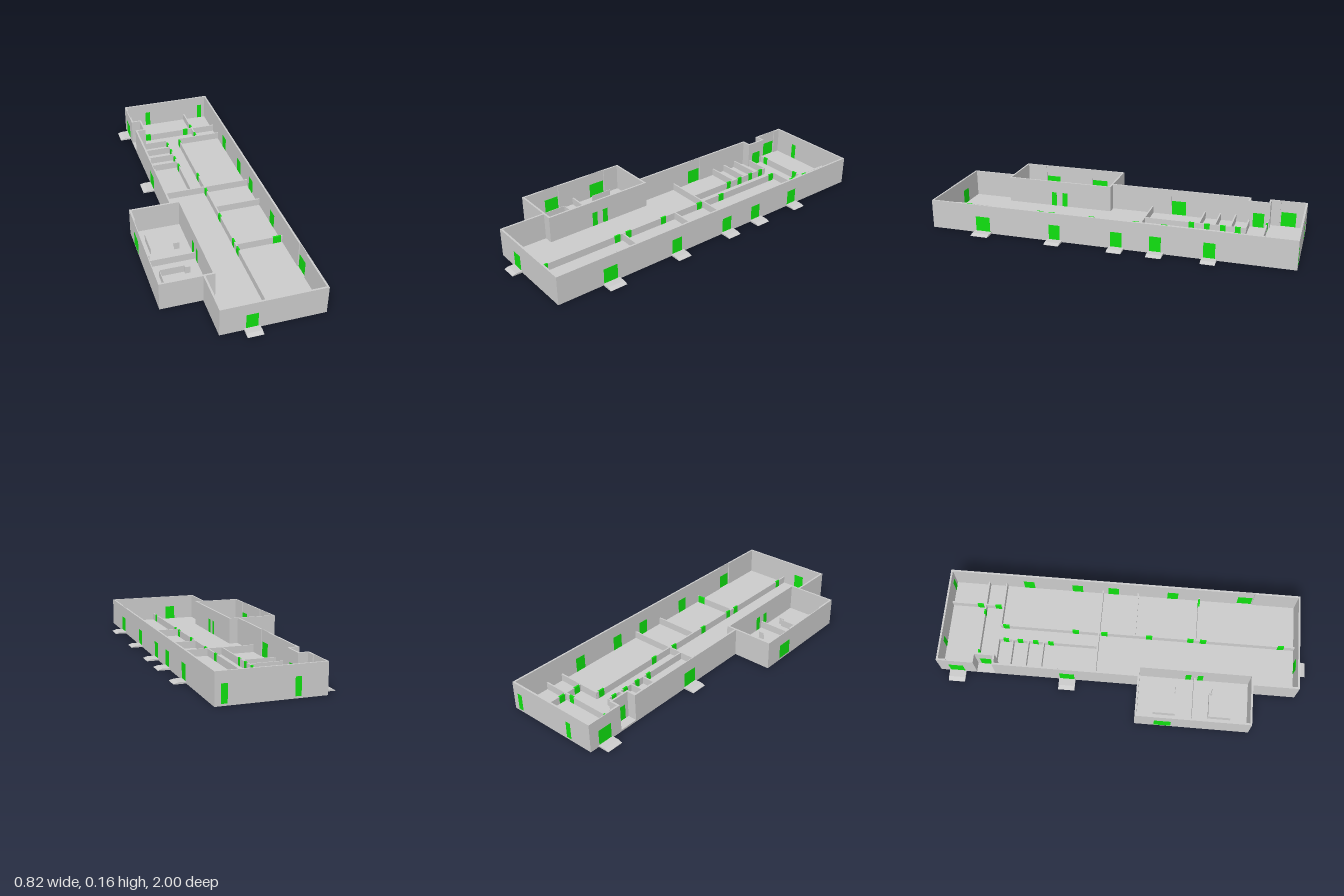
import * as THREE from 'three';

const WALL_H = 0.155, LOW_H = 0.05, FLOOR_H = 0.01, T = 0.01;

export function createModel() {
  const model = new THREE.Group();
  const grey = new THREE.MeshStandardMaterial({ color: 0xcccccc, flatShading: true });
  const green = new THREE.MeshStandardMaterial({ color: 0x10e010, flatShading: true });

  const block = (name, x0, x1, y0, y1, z0, z1, material = grey) => {
    const mesh = new THREE.Mesh(new THREE.BoxGeometry(x1 - x0, y1 - y0, z1 - z0), material);
    mesh.position.set((x0 + x1) / 2, (y0 + y1) / 2, (z0 + z1) / 2);
    mesh.name = name;
    model.add(mesh);
    return mesh;
  };
  // Walls running along z or along x
  const outerWall = (x0, x1, z0, z1) => block('outerWall', x0, x1, FLOOR_H, WALL_H, z0, z1);
  const partition = (x0, z0, x1, z1, t = 0.008) => block('partition',
    x0 - (x0 === x1 ? t / 2 : 0), x1 + (x0 === x1 ? t / 2 : 0), FLOOR_H, LOW_H,
    z0 - (z0 === z1 ? t / 2 : 0), z1 + (z0 === z1 ? t / 2 : 0));

  // Side wall with thin full-height niches; out = +1 or -1 is the outward x side
  const nichedWall = (x, out, z0, z1, niches) => {
    const strip = (a, b, t) => outerWall(Math.min(x, x - out * t), Math.max(x, x - out * t), a, b);
    let z = z0;
    for (const [c, w] of niches) {
      strip(z, c - w / 2, T);
      strip(c - w / 2, c + w / 2, 0.004);
      z = c + w / 2;
    }
    strip(z, z1, T);
  };

  // Floor slabs
  block('hallFloor', -0.19, 0.345, 0, FLOOR_H, -1, 0.945);
  block('annexFloor', -0.408, -0.19, 0, FLOOR_H, 0.085, 0.7);

  // Main building shell, with an entrance alcove near the back
  outerWall(-0.19, 0.345, -1, -1 + T);
  outerWall(-0.19, 0.345, 0.945 - T, 0.945);
  nichedWall(0.345, 1, -1, 0.945, [[0.65, 0.09]]);
  nichedWall(-0.19, -1, -1, -0.8, [[-0.905, 0.09]]);
  nichedWall(-0.19, -1, -0.7, 0.085, [[-0.3, 0.09]]);
  nichedWall(-0.19, -1, 0.7, 0.945, []);
  outerWall(-0.19, -0.13, -0.8 - T, -0.8);
  outerWall(-0.19, -0.13, -0.7, -0.7 + T);
  outerWall(-0.14, -0.13, -0.8, -0.7);

  // Annex shell
  nichedWall(-0.408, -1, 0.085, 0.7, [[0.235, 0.1], [0.53, 0.09]]);
  nichedWall(-0.13, 1, 0.085, 0.7, []);
  outerWall(-0.408, -0.13, 0.085, 0.085 + T);
  outerWall(-0.408, -0.13, 0.7 - T, 0.7);

  // Low inner partitions: x0, z0, x1, z1
  [
    [0.08, -0.7, 0.08, 0.94], [0.0, -0.7, 0.0, -0.15],
    [0.195, -0.995, 0.195, -0.7], [-0.13, -0.8, 0.34, -0.8],
    [0.08, -0.7, 0.34, -0.7], [-0.13, -0.7, 0.0, -0.7],
    [-0.185, -0.15, 0.34, -0.15], [0.08, 0.05, 0.34, 0.05],
    [0.08, 0.395, 0.34, 0.395], [-0.4, 0.395, -0.135, 0.395],
  ].forEach((p) => partition(...p));
  for (const z of [-0.62, -0.535, -0.45]) partition(-0.185, z, 0, z);

  // Thin screens in the annex rooms
  [
    [-0.35, 0.18, -0.35, 0.3], [-0.225, 0.295, -0.195, 0.295],
    [-0.35, 0.48, -0.35, 0.6], [-0.35, 0.48, -0.22, 0.48],
    [-0.22, 0.48, -0.22, 0.495], [-0.22, 0.495, -0.195, 0.495],
  ].forEach((p) => partition(...p, 0.003));

  // Doors, slightly thicker than the wall they sit in
  const doorX = (x, z, w, top = 0.09, t = T, y0 = FLOOR_H) =>
    block('door', x - t / 2 - 0.0005, x + t / 2 + 0.0005, y0, top, z - w / 2, z + w / 2, green);
  const doorZ = (x, z, w, top = 0.09, t = T, y0 = FLOOR_H) =>
    block('door', x - w / 2, x + w / 2, y0, top, z - t / 2 - 0.0005, z + t / 2 + 0.0005, green);

  // Outer doors
  doorX(0.343, 0.65, 0.08, 0.09, 0.004);
  for (const z of [0.245, -0.09, -0.295, -0.57]) doorX(0.34, z, 0.06);
  for (const z of [-0.905, -0.3]) doorX(-0.188, z, 0.08, 0.09, 0.004);
  doorX(-0.406, 0.235, 0.09, 0.09, 0.004);
  doorX(-0.403, 0.53, 0.08, 0.09, 0.002);
  doorX(-0.135, -0.75, 0.06);
  for (const z of [0.36, 0.425]) doorX(-0.135, z, 0.03);
  doorZ(-0.03, 0.94, 0.06);
  for (const x of [0.3, -0.045]) doorZ(x, -0.995, 0.03, 0.1);

  // Inner doors, as low as the partitions and reaching through the floor
  const low = [LOW_H + 0.0005, 0.008, -0.0003];
  for (const z of [-0.67, -0.28, -0.12, 0.13, 0.36, 0.43, 0.86]) doorX(0.08, z, 0.035, ...low);
  for (const z of [-0.66, -0.58, -0.495, -0.41]) doorX(0, z, 0.03, ...low);
  for (const z of [-0.83, -0.73]) doorX(0.195, z, 0.035, ...low);
  doorZ(0.305, 0.395, 0.045, ...low);
  for (const x of [0.15, -0.09]) doorZ(x, -0.8, 0.03, ...low);

  // Entrance ramps: flat landing with a sloping lip, extruded across the doorway
  const ramp = (x, z, width, turn, length = 0.063) => {
    const s = new THREE.Shape();
    s.moveTo(0, 0.001);
    s.lineTo(length, 0.001);
    s.lineTo(length, 0.003);
    s.lineTo(length * 0.63, 0.01);
    s.lineTo(0, 0.01);
    const geo = new THREE.ExtrudeGeometry(s, { depth: width, bevelEnabled: false });
    geo.translate(0, 0, -width / 2);
    const mesh = new THREE.Mesh(geo, grey);
    mesh.position.set(x, 0, z);
    mesh.rotation.y = turn;
    mesh.name = 'entranceRamp';
    model.add(mesh);
  };
  [[0.648, 0.095], [0.242, 0.08], [-0.093, 0.078], [-0.3, 0.08], [-0.573, 0.075]]
    .forEach(([z, w]) => ramp(0.345, z, w, 0));
  for (const z of [-0.905, -0.3]) ramp(-0.19, z, 0.09, Math.PI);
  ramp(-0.03, 0.945, 0.08, -Math.PI / 2, 0.055);

  return model;
}
